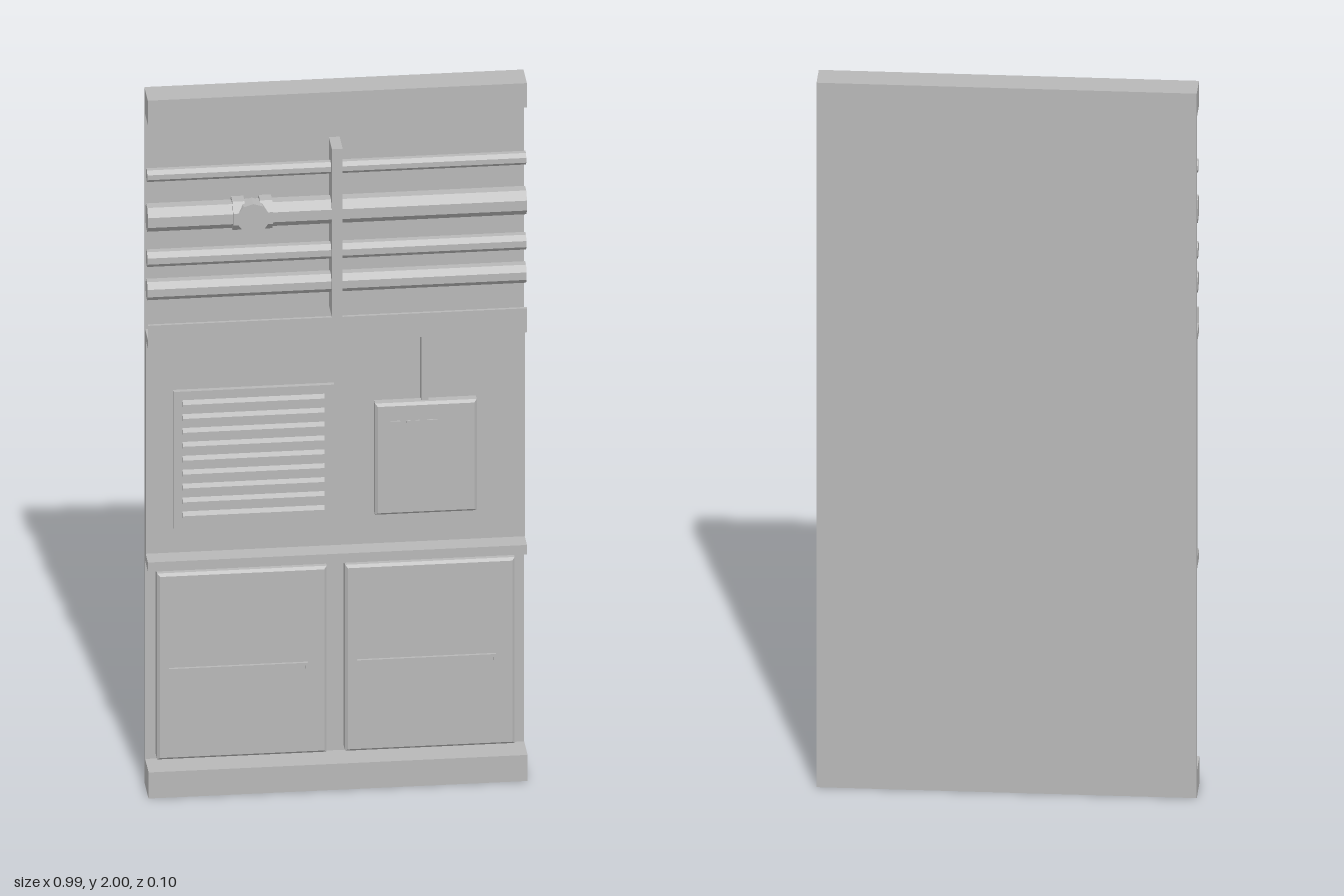
import * as THREE from 'three';

const W = 0.99; // full panel width

export function createModel() {
  const root = new THREE.Group();
  root.name = 'wallPanel';
  const grey = new THREE.MeshStandardMaterial({ color: 0xb8b8b8 });
  grey.name = 'panelGrey';

  const add = (name, geo, parent = root) => {
    const m = new THREE.Mesh(geo, grey);
    m.name = name;
    parent.add(m);
    return m;
  };
  const group = (name) => {
    const g = new THREE.Group();
    g.name = name;
    root.add(g);
    return g;
  };
  // Box given by its limits on each axis
  const box = (name, x0, x1, y0, y1, z0, z1, parent) => {
    const m = add(name, new THREE.BoxGeometry(x1 - x0, y1 - y0, z1 - z0), parent);
    m.position.set((x0 + x1) / 2, (y0 + y1) / 2, (z0 + z1) / 2);
    return m;
  };
  // Side profile of [z, y] points, swept along x
  const sweep = (name, pts, x0, x1, parent) => {
    const shape = new THREE.Shape(pts.map(([z, y]) => new THREE.Vector2(z, y)));
    const geo = new THREE.ExtrudeGeometry(shape, { depth: x1 - x0, bevelEnabled: false });
    geo.rotateY(-Math.PI / 2).translate(x1, 0, 0);
    return add(name, geo, parent);
  };
  // Slab whose front edges are chamfered
  const slab = (name, x0, x1, y0, y1, z0, z1, parent) => {
    const b = 0.007;
    const s = new THREE.Shape([
      new THREE.Vector2(x0 + b, y0 + b), new THREE.Vector2(x1 - b, y0 + b),
      new THREE.Vector2(x1 - b, y1 - b), new THREE.Vector2(x0 + b, y1 - b),
    ]);
    const geo = new THREE.ExtrudeGeometry(s, {
      depth: z1 - z0 - 2 * b, bevelSize: b, bevelThickness: b, bevelSegments: 1,
    });
    geo.translate(0, 0, z0 + b);
    return add(name, geo, parent);
  };
  // Eight-sided bar along x with flat sides
  const bar = (name, r, x0, x1, y, z, parent) => {
    const geo = new THREE.CylinderGeometry(r, r, x1 - x0, 8).toNonIndexed();
    geo.rotateX(0).rotateY(Math.PI / 8).rotateZ(Math.PI / 2);
    geo.computeVertexNormals();
    const m = add(name, geo, parent);
    m.position.set((x0 + x1) / 2, y, z);
    return m;
  };

  // Back wall with base, shelf, cable channel and top beam in one profile
  sweep('wallBody', [
    [-0.05, 0], [0.05, 0], [0.05, 0.075], [-0.032, 0.075],
    [-0.032, 0.645], [0.035, 0.645], [0.035, 0.672], [-0.018, 0.672],
    [-0.018, 1.287], [0.041, 1.287], [0.041, 1.356], [0.033, 1.356],
    [0.033, 1.312], [-0.032, 1.312],
    [-0.032, 1.93], [0.033, 1.93], [0.033, 2], [-0.05, 2],
  ], -W / 2, W / 2);

  // Pipes and the post that holds them
  const pipes = group('pipes');
  [[1.772, 0.018], [1.65, 0.037], [1.533, 0.023], [1.443, 0.028]].forEach(([y, r], i) =>
    bar('pipe' + (i + 1), r, -W / 2, W / 2, y, 0.004, pipes));
  box('pipePost', -0.015, 0.013, 1.356, 1.84, -0.032, 0.042);

  // Valve on the large pipe
  const valve = group('valve');
  for (const x of [-0.257, -0.185])
    bar('valveCollar', 0.044, x - 0.016, x + 0.016, 1.652, 0.005, valve);
  const disc = new THREE.CylinderGeometry(0.043, 0.043, 0.04, 10).rotateX(Math.PI / 2).toNonIndexed();
  disc.computeVertexNormals();
  add('valveDisc', disc, valve).position.set(-0.221, 1.652, 0.027);

  // Vent with louvres
  const vent = group('vent');
  box('ventPlate', -0.424, -0.004, 0.745, 1.14, -0.018, -0.005, vent);
  for (let i = 0; i < 9; i++) {
    const y = 0.777 + i * 0.04;
    sweep('louvre', [[-0.006, y], [0.001, y], [0.001, y + 0.007], [-0.006, y + 0.02]],
      -0.4, -0.03, vent);
  }

  // Junction box, conduit and small raised marks
  const junction = group('junctionBox');
  slab('junctionCase', 0.1, 0.366, 0.77, 1.09, -0.012, 0.023, junction);
  box('junctionMount', 0.11, 0.356, 0.78, 1.08, -0.018, -0.01, junction);
  box('conduit', 0.222, 0.241, 1.085, 1.287, -0.018, 0.008, junction);
  for (const [x0, x1, y0, y1] of [
    [0.14, 0.165, 1.035, 1.041], [0.14, 0.146, 0.995, 1.041],
    [0.182, 0.192, 1.035, 1.041], [0.205, 0.215, 1.035, 1.041],
    [0.235, 0.262, 1.035, 1.041], [0.256, 0.262, 0.995, 1.041],
  ]) box('junctionMark', x0, x1, y0, y1, 0.022, 0.027, junction);

  // Lower cabinet doors with thin trim lines
  const doors = group('cabinetDoors');
  for (const [x0, x1] of [[-0.469, -0.026], [0.022, 0.465]]) {
    slab('door', x0, x1, 0.095, 0.63, -0.032, 0.023, doors);
    box('doorTrim', x0 + 0.03, x1 - 0.05, 0.352, 0.36, 0.022, 0.03, doors);
    box('doorTrimEnd', x1 - 0.056, x1 - 0.05, 0.342, 0.36, 0.022, 0.03, doors);
  }
  return root;
}
